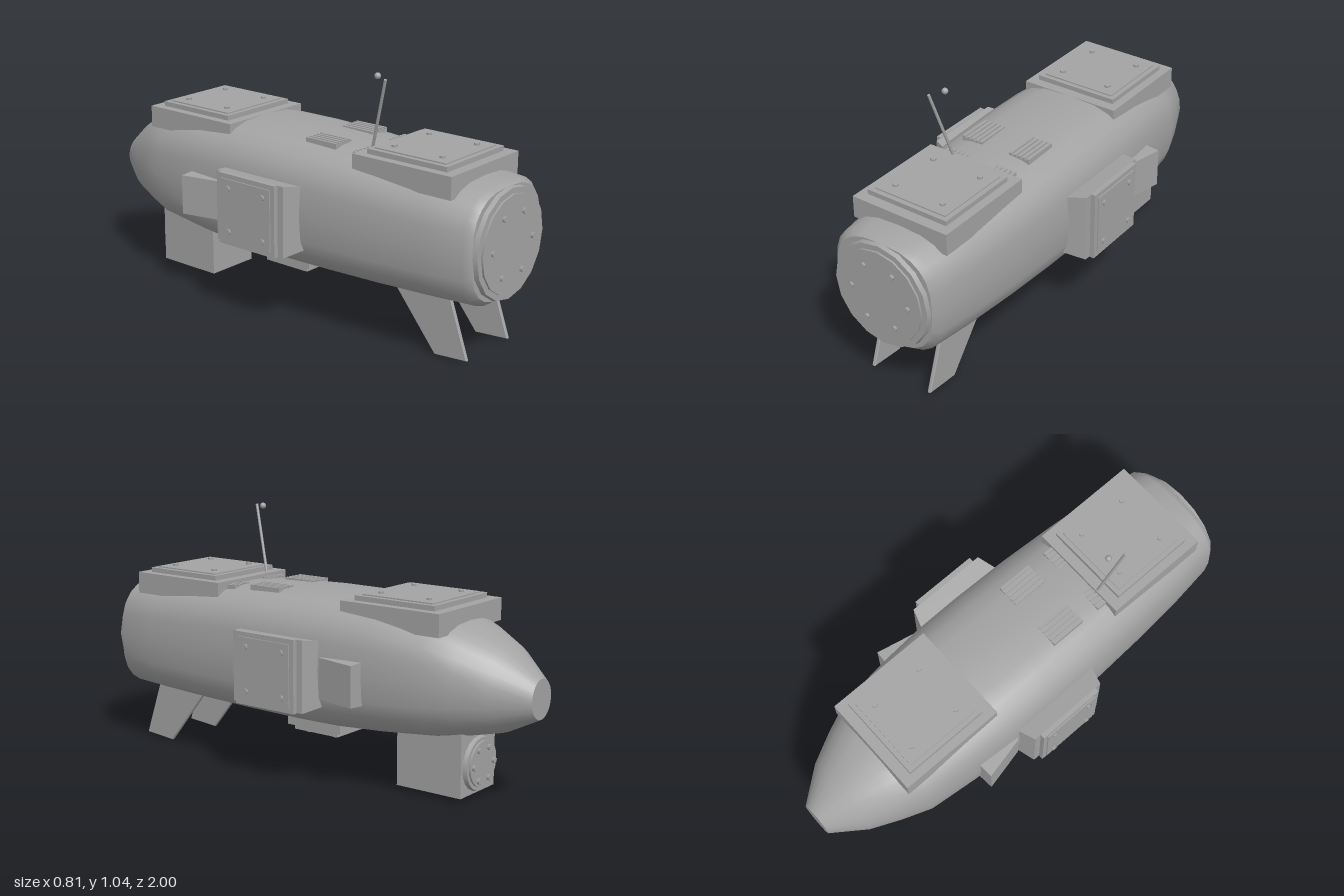
import * as THREE from 'three';

const metal = new THREE.MeshStandardMaterial({ color: 0xa3a3a3 });
metal.name = 'grey metal';

function add(parent, name, geometry, x = 0, y = 0, z = 0) {
  const mesh = new THREE.Mesh(geometry, metal);
  mesh.name = name;
  mesh.position.set(x, y, z);
  parent.add(mesh);
  return mesh;
}

// Fuselage sections: z, half width, bottom, top, roundness exponent
const SECTIONS = [
  [0.962, 0.226, 0.245, 0.68, 2.7], [0.935, 0.25, 0.226, 0.697, 2.8],
  [0.75, 0.272, 0.222, 0.708, 2.9], [0.5, 0.29, 0.216, 0.724, 3],
  [0.25, 0.302, 0.211, 0.739, 3], [0, 0.306, 0.208, 0.747, 3],
  [-0.2, 0.304, 0.21, 0.747, 3], [-0.4, 0.292, 0.22, 0.738, 2.9],
  [-0.62, 0.27, 0.238, 0.712, 2.7], [-0.74, 0.226, 0.256, 0.672, 2.4],
  [-0.865, 0.17, 0.282, 0.615, 2.1], [-1, 0.07, 0.35, 0.508, 2],
];
const SIDES = 24;

function sectionPoint([z, w, low, high, n], i) {
  const a = (i / SIDES) * Math.PI * 2;
  const curve = (v) => Math.sign(v) * Math.abs(v) ** (2 / n);
  return [w * curve(Math.cos(a)), (low + high) / 2 + ((high - low) / 2) * curve(Math.sin(a)), z];
}

function hullGeometry() {
  const positions = [], indices = [];
  for (const s of SECTIONS) for (let i = 0; i < SIDES; i++) positions.push(...sectionPoint(s, i));
  for (let k = 0; k < SECTIONS.length - 1; k++) {
    for (let i = 0; i < SIDES; i++) {
      const a = k * SIDES + i, b = k * SIDES + ((i + 1) % SIDES);
      indices.push(a, a + SIDES, b, b, a + SIDES, b + SIDES);
    }
  }
  const g = new THREE.BufferGeometry();
  g.setAttribute('position', new THREE.Float32BufferAttribute(positions, 3));
  g.setIndex(indices);
  g.computeVertexNormals();
  return g;
}

// Flat end cap with its own vertices so that the rim stays sharp
function capGeometry(section) {
  const pts = [];
  for (let i = 0; i < SIDES; i++) {
    const [x, y] = sectionPoint(section, i);
    pts.push(new THREE.Vector2(x, y));
  }
  return new THREE.ShapeGeometry(new THREE.Shape(pts));
}

// Box whose corners are moved by a rule
function shapedBox(w, h, d, rule) {
  const g = new THREE.BoxGeometry(w, h, d);
  const p = g.attributes.position, v = new THREE.Vector3();
  for (let i = 0; i < p.count; i++) {
    v.fromBufferAttribute(p, i);
    rule(v);
    p.setXYZ(i, v.x, v.y, v.z);
  }
  g.computeVertexNormals();
  return g;
}

const boltGeometry = new THREE.CylinderGeometry(0.012, 0.012, 0.02, 6);

// Square cover with raised panel and four corner bolts, facing +y
function cover(name, half, bolt) {
  const g = new THREE.Group();
  g.name = name;
  add(g, 'coverRim', new THREE.BoxGeometry(half * 2, 0.02, half * 2), 0, 0.01, 0);
  const inner = half - 0.02;
  add(g, 'coverPanel', new THREE.BoxGeometry(inner * 2, 0.02, inner * 2), 0, 0.015, 0);
  for (const x of [-bolt, bolt]) for (const z of [-bolt, bolt]) add(g, 'coverBolt', boltGeometry, x, 0.023, z);
  return g;
}

// Round stepped flange with a ring of six bolts, facing +y
function flange(name, radius, innerRadius, boltRing, sides) {
  const g = new THREE.Group();
  g.name = name;
  add(g, 'flangeRim', new THREE.CylinderGeometry(radius - 0.004, radius, 0.018, sides), 0, 0.009, 0);
  add(g, 'flangePlate', new THREE.CylinderGeometry(innerRadius, innerRadius, 0.026, sides), 0, 0.013, 0);
  for (let i = 0; i < 6; i++) {
    const a = (i / 6) * Math.PI * 2;
    add(g, 'flangeBolt', boltGeometry, boltRing * Math.cos(a), 0.026, boltRing * Math.sin(a));
  }
  return g;
}

export function createModel() {
  const model = new THREE.Group();
  model.name = 'pod';

  // Fuselage and its ends
  add(model, 'hull', hullGeometry());
  add(model, 'frontCap', capGeometry(SECTIONS[0]), 0, 0, 0.962);
  const last = SECTIONS[SECTIONS.length - 1];
  add(model, 'tailCap', capGeometry(last), 0, 0, -1).rotation.y = Math.PI;
  const front = flange('frontFlange', 0.222, 0.195, 0.133, 16);
  front.position.set(0, 0.46, 0.962);
  front.rotation.x = Math.PI / 2;
  model.add(front);

  // Top hatches
  for (const z of [0.63, -0.458]) {
    add(model, 'hatchBase', new THREE.BoxGeometry(0.438, 0.09, 0.456), 0, 0.7, z);
    const c = cover('hatchCover', 0.184, 0.111);
    c.position.set(0, 0.745, z);
    model.add(c);
  }

  // Belly hatch
  add(model, 'bellyBase', new THREE.BoxGeometry(0.25, 0.06, 0.27), 0, 0.206, -0.025);
  const belly = cover('bellyCover', 0.11, 0.068);
  belly.position.set(0, 0.176, -0.025);
  belly.rotation.x = Math.PI;
  model.add(belly);

  // Side pods with covers and the wedge fairings behind them
  for (const s of [-1, 1]) {
    const podShape = shapedBox(0.12, 0.29, 0.35, (v) => {
      if (v.x * s < 0) {
        v.y *= 0.86;
        v.z *= 1.22;
      }
    });
    add(model, 'sidePod', podShape, s * 0.31, 0.458, 0.012);
    const c = cover('sideCover', 0.147, 0.09);
    c.position.set(s * 0.37, 0.458, 0.012);
    c.rotation.z = -s * Math.PI / 2;
    model.add(c);

    const wedge = shapedBox(0.12, 0.175, 0.19, (v) => {
      if (v.x * s > 0) {
        if (v.z > 0) v.x -= s * 0.04;
        else v.z += 0.008;
        v.y *= 0.94;
      }
    });
    add(model, 'sideFairing', wedge, s * 0.29, 0.448, -0.293);
  }

  // Louvre vents on the upper deck
  for (const x of [-0.113, 0.113]) {
    for (const [z, y] of [[0.2, 0.73], [0.435, 0.717]]) {
      add(model, 'ventBase', new THREE.BoxGeometry(0.096, 0.016, 0.152), x, y, z);
      for (let i = 0; i < 5; i++) {
        add(model, 'ventSlat', new THREE.BoxGeometry(0.012, 0.02, 0.152), x - 0.042 + i * 0.021, y + 0.005, z);
      }
    }
  }

  // Aerial and its tip ball
  const foot = new THREE.Vector3(-0.1, 0.72, 0.403), tip = new THREE.Vector3(-0.141, 1.03, 0.495);
  const dir = tip.clone().sub(foot);
  const rod = add(model, 'aerial', new THREE.CylinderGeometry(0.006, 0.006, dir.length(), 8));
  rod.position.copy(foot).addScaledVector(dir, 0.5);
  rod.quaternion.setFromUnitVectors(new THREE.Vector3(0, 1, 0), dir.normalize());
  add(model, 'aerialBall', new THREE.SphereGeometry(0.013, 12, 8), -0.111, 1.03, 0.435);

  // Swept front fins, drawn as (-z, y)
  const fin = new THREE.Shape([[-0.9, 0.015], [-0.752, 0.003], [-0.575, 0.22], [-0.53, 0.275], [-0.81, 0.275]]
    .map(([x, y]) => new THREE.Vector2(x, y)));
  const finGeometry = new THREE.ExtrudeGeometry(fin, {
    depth: 0.01, bevelEnabled: true, bevelThickness: 0.003, bevelSize: 0.003, bevelOffset: -0.003, bevelSegments: 1,
  });
  finGeometry.translate(0, 0, -0.005).rotateY(Math.PI / 2);
  for (const x of [-0.138, 0.138]) add(model, 'frontFin', finGeometry, x, -0.003, 0);

  // Rear keel box with its round flange
  add(model, 'keelBox', new THREE.BoxGeometry(0.24, 0.28, 0.295), 0, 0.159, -0.583);
  const rear = flange('rearFlange', 0.11, 0.092, 0.07, 20);
  rear.position.set(0, 0.135, -0.73);
  rear.rotation.x = -Math.PI / 2;
  model.add(rear);

  return model;
}
